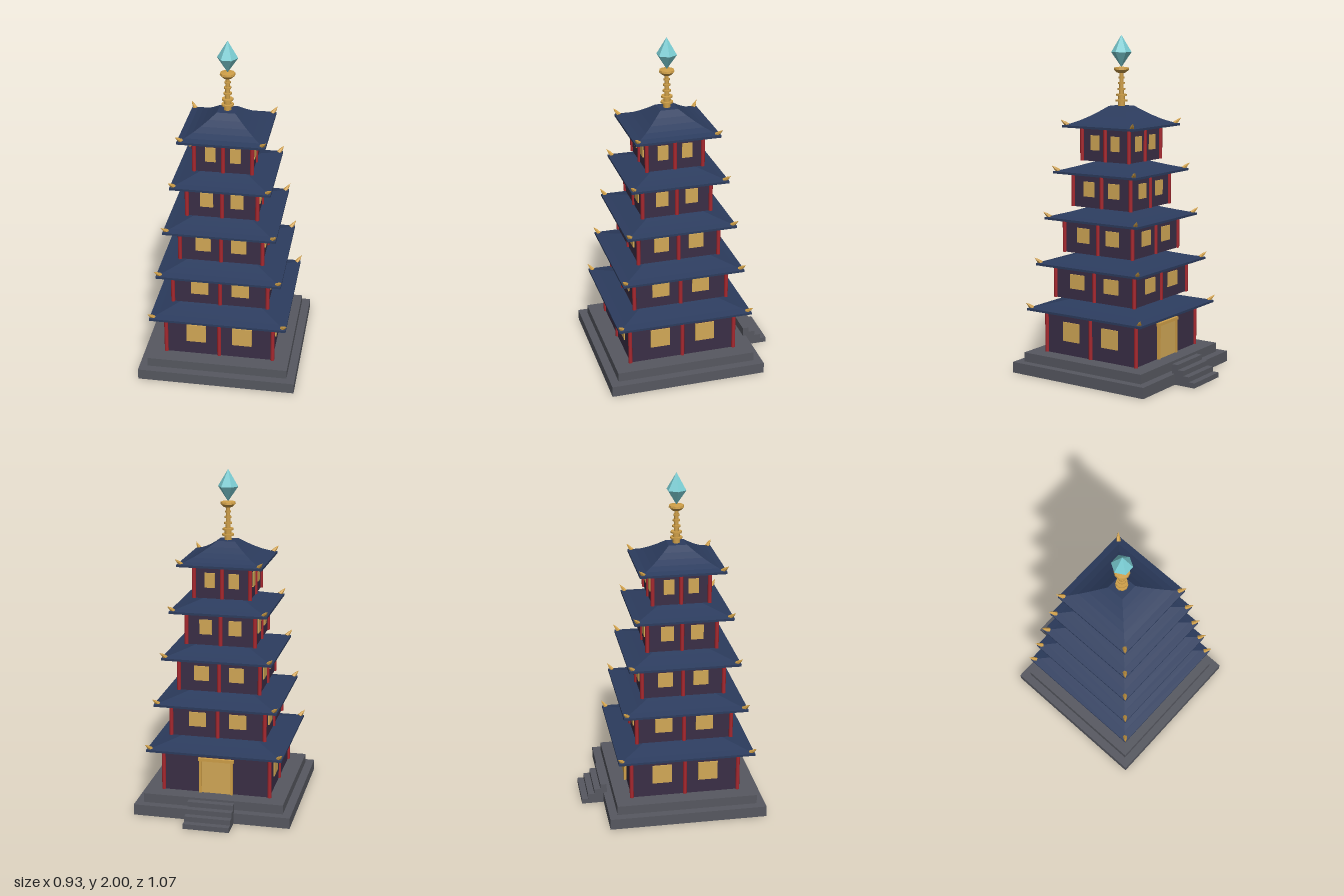
import * as THREE from 'three';

const mat = (name, color) => Object.assign(new THREE.MeshStandardMaterial({ color }), { name });

export function createModel() {
  const stone = mat('stone', 0x565860);
  const plaster = mat('plum wall', 0x3a2e46);
  const red = mat('red lacquer', 0xa8282f);
  const tile = mat('blue tile', 0x2c3c5e);
  const gold = mat('gold', 0xcf9f48);
  const pane = mat('window glow', 0xd2a856);
  const crystalBlue = mat('crystal', 0x7accd2);

  const model = new THREE.Group();
  const tower = new THREE.Group();
  tower.name = 'tower';
  tower.position.z = 0.066;
  model.add(tower);

  const add = (parent, name, geo, material, x = 0, y = 0, z = 0) => {
    const m = new THREE.Mesh(geo, material);
    m.name = name;
    m.position.set(x, y, z);
    parent.add(m);
    return m;
  };
  const box = (parent, name, material, w, h, d, x, y, z) =>
    add(parent, name, new THREE.BoxGeometry(w, h, d), material, x, y + h / 2, z);
  // faceted body of revolution, points run bottom to top
  const facetLathe = (pts, sides, phase) => {
    const v = pts.map(([r, y]) => new THREE.Vector2(r, y));
    const g = new THREE.LatheGeometry(v, sides, phase).toNonIndexed();
    g.computeVertexNormals();
    return g;
  };
  const group = (parent, name) => {
    const g = new THREE.Group();
    g.name = name;
    parent.add(g);
    return g;
  };

  // Stone base and back steps
  box(tower, 'lowerBase', stone, 0.934, 0.065, 0.934, 0, 0, 0);
  box(tower, 'upperBase', stone, 0.836, 0.055, 0.836, 0, 0.065, 0);
  for (let i = 0; i < 4; i++) {
    box(model, 'step', stone, 0.272, 0.12 - i * 0.03, 0.038, 0, 0, -0.4 - i * 0.038);
  }

  // Storeys: floor, eave height, top of roof, wall half width, eave half width, roof top half width
  const storeys = [
    [0.12, 0.377, 0.4535, 0.32, 0.404, 0.165],
    [0.4535, 0.648, 0.725, 0.281, 0.3655, 0.138],
    [0.725, 0.922, 0.997, 0.242, 0.327, 0.117],
    [0.997, 1.194, 1.268, 0.204, 0.2885, 0.09],
    [1.268, 1.464, 1.586, 0.166, 0.25, 0.053],
  ];

  storeys.forEach(([floor, eave, top, W, E, T], level) => {
    const storey = group(tower, 'storey' + (level + 1));
    const H = eave - floor;
    box(storey, 'walls', plaster, 2 * W, H, 2 * W, 0, floor, 0);

    for (let side = 0; side < 4; side++) {
      const face = group(storey, 'wallFace');
      face.rotation.y = side * Math.PI / 2;
      const post = new THREE.CylinderGeometry(0.012, 0.012, H, 8);
      add(face, 'cornerColumn', post, red, W, floor + H / 2, W);

      if (level === 0 && side === 2) {
        // Entrance in the back wall
        box(face, 'door', pane, 0.18, 0.2, 0.008, 0, floor, W + 0.003);
        for (const s of [-1, 1]) box(face, 'doorJamb', gold, 0.016, 0.2, 0.02, s * 0.093, floor, W + 0.006);
        box(face, 'doorLintel', gold, 0.215, 0.018, 0.024, 0, floor + 0.2, W + 0.006);
      } else {
        add(face, 'middleColumn', post, red, 0, floor + H / 2, W);
        for (const s of [-1, 1]) {
          add(face, 'window', new THREE.BoxGeometry(0.365 * W, 0.445 * H, 0.008), pane,
            s * 0.43 * W, floor + 0.552 * H, W + 0.003);
        }
      }

      // Upturned gold horn on each eave corner
      const from = new THREE.Vector3(E - 0.026, eave + 0.01, E - 0.026);
      const to = new THREE.Vector3(E + 0.006, eave + 0.047, E + 0.006);
      const dir = to.clone().sub(from);
      const horn = add(face, 'eaveHorn', facetLathe([[0, 0], [0.014, 0.004], [0.009, 0.032], [0, dir.length()]], 6, 0), gold);
      horn.position.copy(from);
      horn.quaternion.setFromUnitVectors(new THREE.Vector3(0, 1, 0), dir.normalize());
    }

    // Square concave roof with a flat underside and a thin eave edge
    const profile = [[0, eave], [E, eave], [E, eave + 0.013]];
    const power = level === 4 ? 1.45 : 1.15;
    for (let i = 1; i <= 5; i++) {
      const t = i / 5;
      profile.push([E + (T - E) * t, eave + 0.013 + (top - eave - 0.013) * t ** power]);
    }
    profile.push([0, top]);
    const roof = facetLathe(profile.map(([r, y]) => [r * Math.SQRT2, y]), 4, Math.PI / 4);
    add(storey, 'roof', roof, tile);
  });

  // Finial: mast, rings, dish and crystal
  const finial = group(tower, 'finial');
  add(finial, 'mast', new THREE.CylinderGeometry(0.011, 0.017, 0.21, 8), gold, 0, 1.685, 0);
  add(finial, 'mastFoot', new THREE.CylinderGeometry(0.02, 0.022, 0.07, 8), gold, 0, 1.62, 0);
  [[1.617, 0.036], [1.65, 0.033], [1.685, 0.024], [1.72, 0.021], [1.752, 0.018]].forEach(([y, r]) =>
    add(finial, 'mastRing', new THREE.CylinderGeometry(r, r, 0.01, 10), gold, 0, y, 0));
  add(finial, 'dish', facetLathe([[0, 1.775], [0.026, 1.78], [0.045, 1.798], [0.043, 1.81], [0, 1.816]], 10, 0), gold);
  add(finial, 'crystal', facetLathe([[0, 1.812], [0.06, 1.9], [0, 2]], 6, Math.PI / 6), crystalBlue);

  return model;
}
